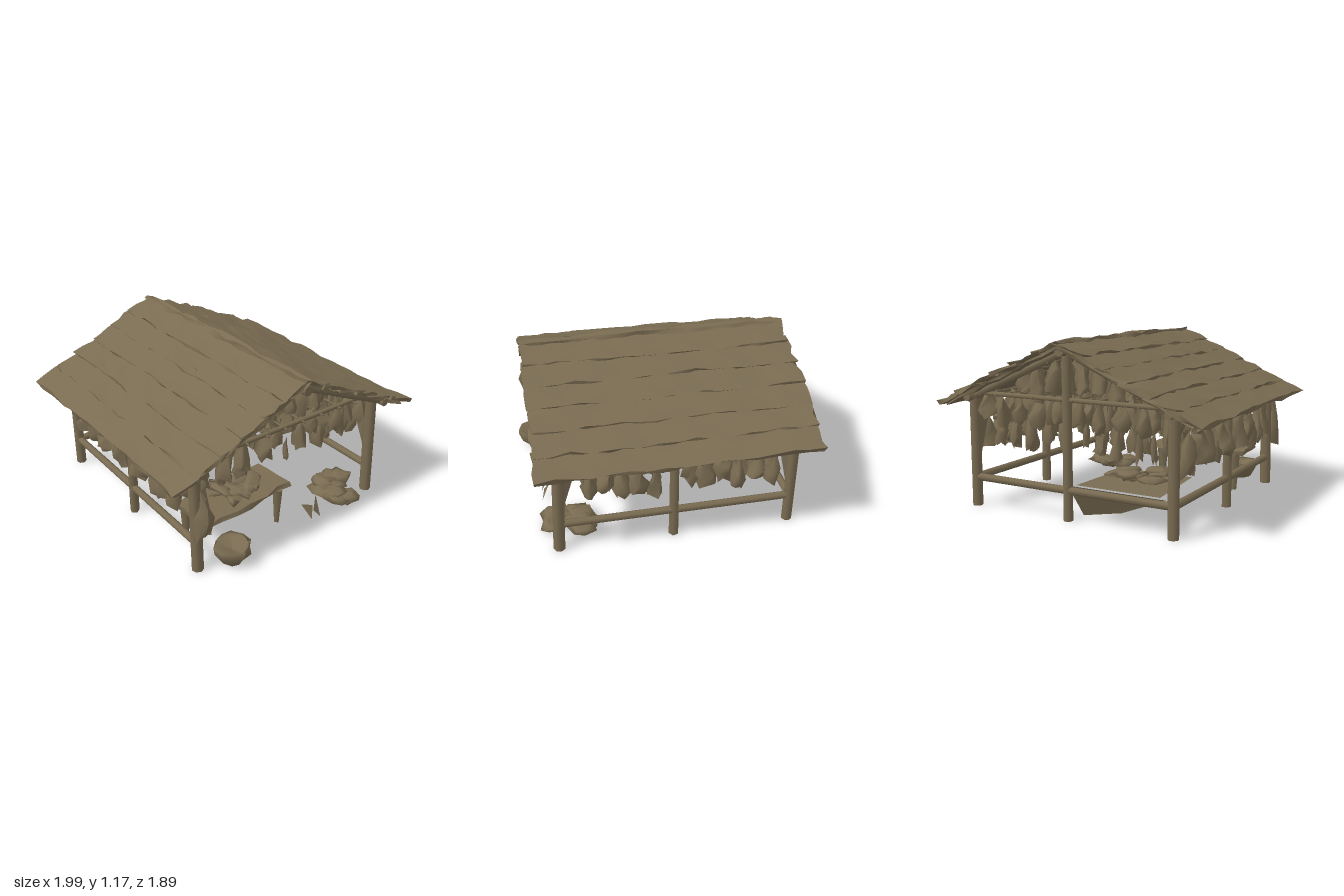
import * as THREE from 'three';
import { mergeGeometries } from 'three/addons/utils/BufferGeometryUtils.js';

const V = (x, y, z) => new THREE.Vector3(x, y, z);

// Repeatable noise in -1..1, the same for vertices that share a position
function noise(x, y, z, seed) {
  const s = Math.sin(x * 127.1 + y * 311.7 + z * 74.7 + seed * 53.3) * 43758.5453;
  return (s - Math.floor(s)) * 2 - 1;
}

function roughen(geo, ax, ay, az, seed) {
  const p = geo.attributes.position;
  for (let i = 0; i < p.count; i++) {
    const q = [p.getX(i), p.getY(i), p.getZ(i)].map(v => Math.round(v * 1000) / 1000 + 0);
    p.setXYZ(i,
      q[0] + ax * noise(...q, seed),
      q[1] + ay * noise(...q, seed + 1),
      q[2] + az * noise(...q, seed + 2));
  }
  geo.computeVertexNormals();
  return geo;
}

// Hanging bundle of dried leaves: a narrow tied top over a ragged hem
function bundle(x, top, z, r, h, seed) {
  const g = new THREE.CylinderGeometry(r * 0.15, r, h, 7, 3, true);
  const p = g.attributes.position;
  for (let i = 0; i < p.count; i++) {
    const t = 0.5 - p.getY(i) / h;
    const k = t > 0.9 ? 0.75 : 1 + 0.25 * Math.sin(t * Math.PI);
    p.setXYZ(i, p.getX(i) * k, p.getY(i), p.getZ(i) * k);
  }
  roughen(g, r * 0.35, h * 0.13, r * 0.35, seed);
  return g.translate(x, top - h / 2, z);
}

// Flat heap of crumpled leaves
function heap(cx, y, cz, w, h, d, seed) {
  const parts = [];
  for (let i = 0; i < 9; i++) {
    const g = new THREE.SphereGeometry(0.5, 7, 4);
    roughen(g, 0.16, 0.16, 0.16, seed + i * 7);
    g.scale(w * 0.4, h * 0.55, d * 0.42);
    g.rotateY(i);
    g.translate(cx + w * 0.32 * noise(i, 1, 2, seed), y + h * (0.28 + 0.04 * i), cz + d * 0.3 * noise(i, 3, 4, seed));
    parts.push(g);
  }
  return mergeGeometries(parts);
}

export function createModel() {
  const model = new THREE.Group();
  const wood = new THREE.MeshStandardMaterial({ color: 0x7a6c52, side: THREE.DoubleSide });
  wood.name = 'weathered brown';

  const add = (name, geo) => {
    const m = new THREE.Mesh(geo, wood);
    m.name = name;
    model.add(m);
    return m;
  };

  // Round pole between two points
  const pole = (name, a, b, r0, r1 = r0, sides = 7) => {
    const dir = b.clone().sub(a);
    const m = add(name, new THREE.CylinderGeometry(r1, r0, dir.length(), sides));
    m.position.copy(a).add(b).multiplyScalar(0.5);
    m.quaternion.setFromUnitVectors(V(0, 1, 0), dir.normalize());
    return m;
  };

  // Thin plate through a loop of corners
  const plate = (name, corners) => {
    const g = new THREE.BufferGeometry().setFromPoints(corners);
    g.setIndex(corners.length === 4 ? [0, 1, 2, 0, 2, 3] : [0, 1, 2]);
    g.computeVertexNormals();
    return add(name, g);
  };

  // Thatched roof: overlapping ragged courses on each slope
  const slope = 0.425;
  for (const s of [-1, 1]) {
    for (let k = 0; k < 6; k++) {
      const u = (k + 0.5) / 6;
      const g = new THREE.BoxGeometry(0.225, 0.022, 1.81, 3, 1, 16);
      roughen(g, 0.014, 0.011, 0.018, k * 11 + s * 5);
      const m = add('roofCourse', g);
      m.rotation.z = -s * (slope - 0.05);
      m.position.set(s * 0.95 * u, 1.142 - 0.43 * u, -0.035);
    }
    // Under layer of the thatch
    const under = add('roofUnderlay', roughen(new THREE.BoxGeometry(1.0, 0.012, 1.76, 8, 1, 14), 0.01, 0.01, 0.012, 90 + s));
    under.rotation.z = -s * slope;
    under.position.set(s * 0.46, 0.905, -0.035);
    // Rafters
    for (const z of [0.8, 0, -0.82]) pole('rafter', V(0, 1.09, z), V(s * 0.8, 0.735, z), 0.03);
  }
  pole('ridgeBeam', V(0, 1.09, 0.88), V(0, 1.09, -0.9), 0.035);

  // Posts, wall plates and rails
  for (const s of [-1, 1]) {
    const x = s * 0.75;
    pole('frontPost', V(x, 0, 0.75), V(x, 0.76, 0.72), 0.04);
    pole('backPost', V(x, 0, -0.82), V(x, 0.76, -0.82), 0.036);
    pole('middlePost', V(x, 0, -0.02), V(x, 0.76, -0.02), 0.034, 0.03, 5);
    pole('wallPlate', V(x, 0.755, 0.85), V(x, 0.755, -0.9), 0.028);
    pole('sideRail', V(x, 0.2, 0.73), V(x, 0.2, -0.84), 0.026);
    plate('frontBrace', [V(x, 0.25, 0.73), V(x - s * 0.05, 0.74, 0.56), V(x, 0.74, 0.74)]);
    plate('backBrace', [V(x, 0.25, -0.8), V(x, 0.74, -0.81), V(x - s * 0.05, 0.74, -0.7)]);
  }
  pole('backCenterPost', V(0, 0, -0.82), V(0, 1.1, -0.82), 0.032);
  pole('backRail', V(-0.75, 0.2, -0.82), V(0.75, 0.2, -0.82), 0.026);
  for (const z of [0.72, -0.82]) pole('tieBeam', V(-0.75, 0.78, z), V(0.75, 0.78, z), 0.016, 0.016, 6);
  // Slanted board below the back rail
  plate('backBoard', [V(-0.7, 0.23, -0.82), V(0, 0.23, -0.82), V(-0.04, 0.01, -0.7), V(-0.35, 0.08, -0.74)]);

  // Drying lines with hanging leaf bundles: x, top height, radius, length, spacing
  const rows = [
    [-0.68, 0.78, 0.06, 0.2, 0.11], [-0.52, 0.78, 0.06, 0.2, 0.12], [-0.36, 0.79, 0.06, 0.2, 0.12],
    [-0.2, 0.79, 0.06, 0.19, 0.12], [-0.05, 0.79, 0.06, 0.17, 0.12], [0.1, 0.79, 0.06, 0.18, 0.12],
    [0.26, 0.79, 0.06, 0.19, 0.12], [0.42, 0.79, 0.06, 0.2, 0.12], [0.56, 0.78, 0.06, 0.2, 0.12],
    [0.68, 0.78, 0.06, 0.2, 0.11],
    [-0.34, 0.93, 0.05, 0.16, 0.15], [-0.2, 1.0, 0.055, 0.22, 0.14], [-0.08, 1.04, 0.05, 0.24, 0.15],
    [0.02, 1.06, 0.05, 0.25, 0.16], [0.13, 1.02, 0.055, 0.23, 0.14], [0.26, 0.97, 0.055, 0.2, 0.14],
    [0.38, 0.92, 0.05, 0.15, 0.15],
    [-0.77, 0.62, 0.075, 0.23, 0.11], [0.77, 0.6, 0.07, 0.2, 0.11], [-0.68, 0.62, 0.055, 0.22, 0.13],
    [0.66, 0.6, 0.05, 0.18, 0.15], [-0.43, 0.62, 0.028, 0.24, 0.2], [-0.27, 0.6, 0.05, 0.2, 0.2],
    [-0.14, 0.6, 0.05, 0.2, 0.22], [0.13, 0.58, 0.03, 0.18, 0.25], [0.4, 0.61, 0.05, 0.2, 0.2],
    [0.53, 0.6, 0.045, 0.2, 0.2],
  ];
  rows.forEach(([x, top, r, h, step], n) => {
    const list = [];
    const low = top < 0.7;
    for (let z = low ? -0.66 : -0.76; z < (low ? 0.6 : 0.74); z += step) {
      if (low && Math.abs(z + 0.03) < 0.05) continue;
      const a = noise(z, n, 1, 3), b = noise(z, n, 2, 4);
      list.push(bundle(x + a * 0.02, top + b * 0.025, z + a * 0.02, r * (1 + 0.2 * b), h * (1 + 0.15 * a), n * 31 + list.length));
    }
    add('hangingLeaves', mergeGeometries(list));
    if (!low) pole('dryingPole', V(x, top - 0.01, 0.76), V(x, top - 0.01, -0.84), 0.007, 0.007, 5);
  });
  // Long bundle at the front corner
  add('cornerLeaves', bundle(-0.76, 0.62, 0.83, 0.055, 0.3, 77));

  // Work table with leaves on it
  const top = add('tableTop', roughen(new THREE.BoxGeometry(0.74, 0.03, 0.32, 6, 1, 3), 0.012, 0.006, 0.02, 15));
  top.position.set(-0.31, 0.275, 0.55);
  top.rotation.y = 0.08;
  for (const x of [-0.62, -0.03]) for (const z of [0.43, 0.67]) {
    if (x < -0.5 && z > 0.5) continue;
    pole('tableLeg', V(x, 0, z), V(x, 0.27, z), 0.022, 0.045, 4);
  }
  add('tableLeaves', heap(-0.32, 0.28, 0.52, 0.62, 0.07, 0.26, 40));
  add('backLeaves', heap(-0.32, 0.235, -0.42, 0.5, 0.08, 0.44, 60));
  plate('backShelf', [V(-0.65, 0.235, -0.8), V(-0.05, 0.235, -0.8), V(-0.08, 0.235, -0.25), V(-0.6, 0.235, -0.25)]);

  // Basket beside the table
  const profile = [[0, 0], [0.08, 0.005], [0.12, 0.06], [0.125, 0.12], [0.1, 0.11], [0, 0.08]];
  const basket = add('basket', roughen(new THREE.LatheGeometry(profile.map(p => new THREE.Vector2(...p)), 10), 0.01, 0.01, 0.01, 5));
  basket.position.set(-0.52, 0.015, 0.81);

  // Leaf heap and scraps on the ground
  add('groundLeaves', heap(0.51, 0, 0.67, 0.46, 0.11, 0.42, 80));
  plate('leafScrap', [V(0.11, 0.13, 0.76), V(0.18, 0.12, 0.8), V(0.16, 0.02, 0.82)]);
  plate('leafScrap', [V(0.24, 0.16, 0.76), V(0.19, 0.07, 0.8), V(0.24, 0.01, 0.82)]);

  return model;
}
